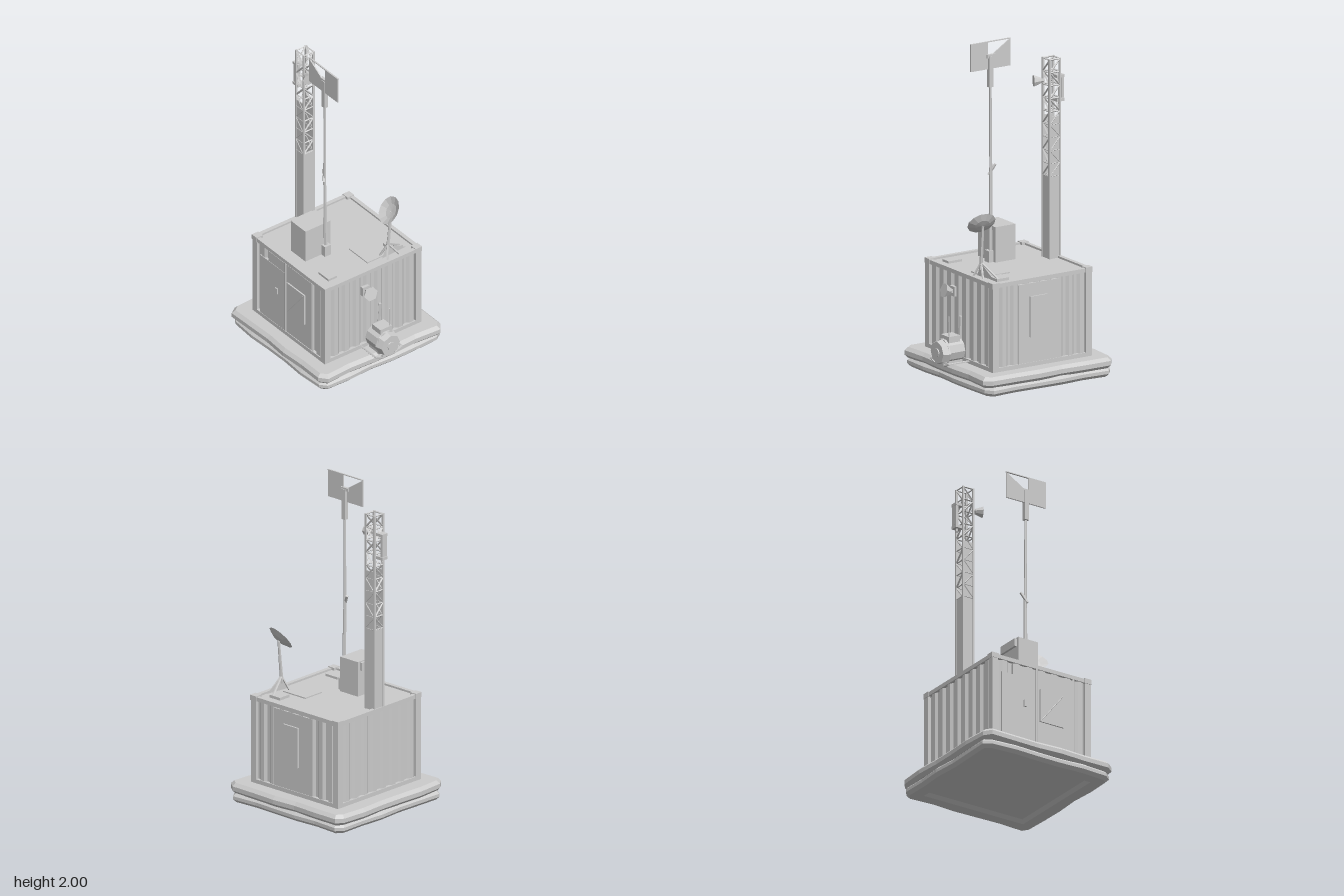
import * as THREE from 'three';

const mat = new THREE.MeshStandardMaterial({ color: 0xcccccc, flatShading: true });
const thin = new THREE.MeshStandardMaterial({ color: 0xcccccc, flatShading: true, side: THREE.DoubleSide });
const V = (x, y, z) => new THREE.Vector3(x, y, z);

function add(parent, name, geo, material = mat) {
  const mesh = new THREE.Mesh(geo, material);
  mesh.name = name;
  parent.add(mesh);
  return mesh;
}
function group(parent, name) {
  const g = new THREE.Group();
  g.name = name;
  parent.add(g);
  return g;
}
// Box given by its limits on each axis
function box(parent, name, x0, x1, y0, y1, z0, z1) {
  const m = add(parent, name, new THREE.BoxGeometry(x1 - x0, y1 - y0, z1 - z0));
  m.position.set((x0 + x1) / 2, (y0 + y1) / 2, (z0 + z1) / 2);
  return m;
}
// Round bar from a to b, optionally tapered
function bar(parent, name, a, b, r, r2 = r, sides = 5) {
  const d = b.clone().sub(a);
  const m = add(parent, name, new THREE.CylinderGeometry(r2, r, d.length(), sides));
  m.position.copy(a).addScaledVector(d, 0.5);
  m.quaternion.setFromUnitVectors(V(0, 1, 0), d.normalize());
  return m;
}
function polygon(points) {
  return new THREE.Shape(points.map(p => new THREE.Vector2(...p)));
}

// Padded foundation ring in two stacked layers, slightly uneven
function foundation(root) {
  const g = group(root, 'foundation');
  const layer = (y, h, grow, phase) => {
    const w = 0.43 + grow, c = 0.03;
    const pts = [];
    for (let side = 0; side < 4; side++) {
      const a = side * Math.PI / 2;
      for (let i = 0; i <= 5; i++) {
        const t = -(w - c) + (2 * (w - c) * i) / 5;
        const d = w + 0.006 * Math.sin(i * 2.3 + side * 1.7 + phase);
        pts.push([d * Math.cos(a) - t * Math.sin(a), d * Math.sin(a) + t * Math.cos(a)]);
      }
    }
    const s = polygon(pts), q = 0.355;
    s.holes.push(new THREE.Path([[-q, -q], [-q, q], [q, q], [q, -q]].map(p => new THREE.Vector2(...p))));
    const b = 0.02;
    const geo = new THREE.ExtrudeGeometry(s, { depth: h - 2 * b, bevelThickness: b, bevelSize: b, bevelSegments: 1 });
    geo.rotateX(-Math.PI / 2);
    const m = add(g, 'foundationLayer', geo);
    m.position.set(-0.03, y + b, 0);
  };
  layer(0, 0.06, 0, 0);
  layer(0.053, 0.067, 0.008, 2);
  box(g, 'foundationFloor', -0.4, 0.34, 0.02, 0.115, -0.37, 0.37);
}

// Cargo cabin with corrugated walls, corner posts and rails
function cabin(root) {
  const g = group(root, 'cabin');
  const X0 = -0.38, X1 = 0.325, Z = 0.36, cx = (X0 + X1) / 2, y0 = 0.12, y1 = 0.665;
  box(g, 'cabinCore', X0 + 0.02, X1 - 0.02, y0, 0.65, -Z + 0.02, Z - 0.02);
  for (const x of [X0, X1 - 0.042]) for (const z of [-Z, Z - 0.042]) {
    box(g, 'cornerPost', x, x + 0.042, y0, y1 - 0.005, z, z + 0.042);
    box(g, 'cornerCasting', x - 0.003, x + 0.045, y1 - 0.03, y1 + 0.002, z - 0.003, z + 0.045);
  }
  for (const y of [y0, y1 - 0.028]) {
    for (const z of [-Z, Z - 0.025]) box(g, 'longRail', X0, X1, y, y + 0.025, z, z + 0.025);
    for (const x of [X0, X1 - 0.025]) box(g, 'sideRail', x, x + 0.025, y, y + 0.025, -Z, Z);
  }
  const wall = (name, width, ribs, x, z, turn) => {
    const p = width / ribs, pts = [[-width / 2, -0.015]];
    for (let i = 0; i < ribs; i++) {
      const s = -width / 2 + i * p;
      pts.push([s, 0], [s + p * 0.2, 0.014], [s + p * 0.55, 0.014], [s + p * 0.75, 0]);
    }
    pts.push([width / 2, 0], [width / 2, -0.015]);
    const geo = new THREE.ExtrudeGeometry(polygon(pts.reverse()), { depth: 0.51, bevelEnabled: false });
    geo.rotateX(-Math.PI / 2);
    geo.rotateY(turn + Math.PI);
    add(g, name, geo).position.set(x, y0 + 0.015, z);
  };
  wall('frontWall', 0.63, 7, cx, Z - 0.02, 0);
  wall('backWall', 0.63, 8, cx, -Z + 0.02, Math.PI);
  wall('leftWall', 0.64, 8, X1 - 0.02, 0, Math.PI / 2);
  wall('rightWall', 0.64, 8, X0 + 0.02, 0, -Math.PI / 2);

  // Front panels and doors
  box(g, 'frontPanel', -0.31, -0.07, 0.14, 0.56, 0.34, 0.358);
  box(g, 'frontPanelUpper', -0.23, -0.07, 0.56, 0.63, 0.34, 0.356);
  box(g, 'doorHandle', -0.155, -0.135, 0.37, 0.41, 0.355, 0.366);
  box(g, 'frontDoor', -0.055, 0.195, 0.14, 0.63, 0.34, 0.356);
  box(g, 'doorHatch', -0.04, 0.13, 0.3, 0.51, 0.35, 0.365);
  bar(g, 'hatchBrace', V(-0.03, 0.31, 0.365), V(0.12, 0.5, 0.365), 0.003);
  for (const x of [-0.06, 0.2]) bar(g, 'doorRod', V(x, 0.14, 0.357), V(x, 0.64, 0.357), 0.007);
  // Back door
  box(g, 'backPanel', -0.16, 0.14, 0.14, 0.63, -0.356, -0.34);
  box(g, 'backHatch', -0.06, 0.06, 0.3, 0.55, -0.367, -0.35);
}

function roofEquipment(root) {
  const g = group(root, 'roofEquipment');
  box(g, 'roofCabinet', -0.13, 0.012, 0.65, 0.867, 0.08, 0.265);
  box(g, 'cabinetVent', -0.145, -0.13, 0.81, 0.86, 0.1, 0.25);
  box(g, 'roofHatch', 0.07, 0.25, 0.645, 0.657, -0.16, -0.015);
  box(g, 'roofBlock', 0.16, 0.255, 0.645, 0.664, 0.215, 0.28);
  box(g, 'roofBlock', 0.16, 0.245, 0.645, 0.667, -0.285, -0.2);
}

// Lattice tower: closed in below, open cross bracing above
function tower(root) {
  const g = group(root, 'latticeTower');
  const a = 0.036, y0 = 0.65, top = 1.875;
  g.position.set(-0.335, 0, 0.004);
  for (const x of [-a, a]) for (const z of [-a, a]) box(g, 'towerLeg', x - 0.006, x + 0.006, y0, top, z - 0.006, z + 0.006);
  for (const s of [-1, 1]) {
    box(g, 'towerFrontPlate', -a, a, y0, 1.52, s * a - 0.003, s * a + 0.003);
    box(g, 'towerSidePlate', s * a - 0.003, s * a + 0.003, y0, 1.16, -a, a);
  }
  const n = 9, step = (top - 1.16) / n;
  for (let i = 0; i <= n; i++) {
    const y = top - i * step - 0.004, flip = i % 2 ? -1 : 1;
    for (const s of [-a, a]) {
      bar(g, 'crossBar', V(-a, y, s), V(a, y, s), 0.005, 0.005, 4);
      bar(g, 'crossBar', V(s, y, -a), V(s, y, a), 0.005, 0.005, 4);
      if (i === n) continue;
      bar(g, 'diagonal', V(-a * flip, y, s), V(a * flip, y - step, s), 0.006, 0.006, 4);
      bar(g, 'diagonal', V(s, y, -a * flip), V(s, y - step, a * flip), 0.006, 0.006, 4);
    }
  }
  // Small drum antenna on the front corner
  const drum = add(g, 'drumAntenna', new THREE.CylinderGeometry(0.036, 0.018, 0.045, 8));
  drum.position.set(0.076, 1.735, 0.036);
  drum.rotation.set(0, -0.4, -Math.PI / 2);
  bar(g, 'drumArm', V(0.03, 1.735, 0.03), V(0.06, 1.735, 0.036), 0.01);
  // Sector antenna on the outer side
  bar(g, 'sectorPole', V(-0.06, 1.58, 0.005), V(-0.06, 1.76, 0.005), 0.008);
  box(g, 'sectorAntenna', -0.08, -0.064, 1.62, 1.75, -0.015, 0.025);
  for (const y of [1.6, 1.745]) box(g, 'sectorClamp', -0.082, -0.03, y, y + 0.018, -0.018, 0.028);
}

// Slim mast carrying two flat reflector panels
function mast(root) {
  const g = group(root, 'mast');
  g.position.set(0.015, 0, 0.125);
  bar(g, 'mastLower', V(0.006, 0.65, -0.005), V(0, 1.24, 0), 0.013, 0.009, 6);
  bar(g, 'mastUpper', V(0, 1.2, 0), V(0.004, 1.92, 0), 0.009, 0.007, 6);
  bar(g, 'mastClamp', V(-0.025, 1.245, -0.01), V(0.01, 1.18, 0.01), 0.009);
  box(g, 'mastHead', -0.012, 0.018, 1.72, 1.91, -0.012, 0.014);
  box(g, 'mastFoot', -0.02, 0.03, 0.65, 0.72, -0.025, 0.02);
  box(g, 'headArm', -0.03, 0.03, 1.9, 1.92, -0.008, 0.01);
  const panel = (name, pts) => {
    const geo = new THREE.ExtrudeGeometry(polygon(pts), { depth: 0.008, bevelEnabled: false });
    add(g, name, geo).position.z = 0.002;
  };
  panel('rightPanel', [[-0.14, 1.83], [-0.013, 1.83], [-0.013, 1.915], [-0.14, 1.995]]);
  panel('leftPanel', [[0.018, 1.83], [0.14, 1.83], [0.14, 1.998], [0.018, 1.998], [0.018, 1.91]]);
  box(g, 'panelTopRail', -0.14, 0.14, 1.995, 2, 0, 0.01);
}

// Dish tilted skyward on a short tripod
function dish(root) {
  const g = group(root, 'satelliteDish');
  const profile = [[0, -0.016], [0.045, -0.012], [0.088, 0.006]].map(p => new THREE.Vector2(...p));
  const bowl = add(g, 'dishBowl', new THREE.LatheGeometry(profile, 12), thin);
  bowl.position.set(0.272, 0.983, -0.163);
  bowl.quaternion.setFromUnitVectors(V(0, 1, 0), V(-0.16, 0.6, 0.78).normalize());
  bar(g, 'dishPost', V(0.27, 0.7, -0.15), V(0.272, 0.97, -0.175), 0.011, 0.008, 6);
  const hub = V(0.27, 0.745, -0.152);
  for (const [x, z] of [[0.235, -0.12], [0.305, -0.12], [0.225, -0.28], [0.3, -0.22]])
    bar(g, 'dishLeg', V(x, 0.655, z), hub, 0.007);
  const web = polygon([[-0.11, 0.655], [-0.285, 0.665], [-0.145, 0.74]]);
  const m = add(g, 'dishStandWeb', new THREE.ShapeGeometry(web).rotateY(-Math.PI / 2), thin);
  m.position.x = 0.268;
}

// Generator drum in a tube cradle, plus a flood lamp above it
function leftWallEquipment(root) {
  const g = group(root, 'generator');
  bar(g, 'generatorBody', V(0.335, 0.195, -0.008), V(0.45, 0.195, -0.008), 0.074, 0.074, 10);
  bar(g, 'generatorCap', V(0.44, 0.19, -0.008), V(0.487, 0.19, -0.008), 0.08, 0.068, 8);
  bar(g, 'generatorHub', V(0.48, 0.19, -0.008), V(0.492, 0.19, -0.008), 0.03, 0.025, 8);
  box(g, 'generatorTop', 0.355, 0.435, 0.25, 0.288, -0.055, 0.03);
  box(g, 'generatorBase', 0.335, 0.47, 0.115, 0.14, -0.05, 0.04);
  for (const z of [-0.105, 0.09]) {
    bar(g, 'cradleRail', V(0.325, 0.135, z), V(0.465, 0.135, z), 0.006);
    bar(g, 'cradleFoot', V(0.465, 0.135, z), V(0.465, 0.115, z * 0.5), 0.006);
  }
  bar(g, 'cradleCross', V(0.465, 0.135, -0.105), V(0.465, 0.135, 0.09), 0.006);
  bar(g, 'exhaustPipe', V(0.425, 0.27, -0.045), V(0.428, 0.41, -0.045), 0.004);
  bar(g, 'fuelPipe', V(0.34, 0.25, -0.03), V(0.34, 0.4, -0.04), 0.009);

  const l = group(root, 'floodLamp');
  bar(l, 'lampArm', V(0.31, 0.53, 0.06), V(0.35, 0.53, 0.06), 0.015);
  box(l, 'lampPlate', 0.315, 0.335, 0.5, 0.56, 0.035, 0.085);
  bar(l, 'lampShade', V(0.345, 0.53, 0.06), V(0.39, 0.542, 0.066), 0.018, 0.046, 6);
}

export function createModel() {
  const root = new THREE.Group();
  root.name = 'radioOutpost';
  for (const build of [foundation, cabin, roofEquipment, tower, mast, dish, leftWallEquipment]) build(root);
  return root;
}
